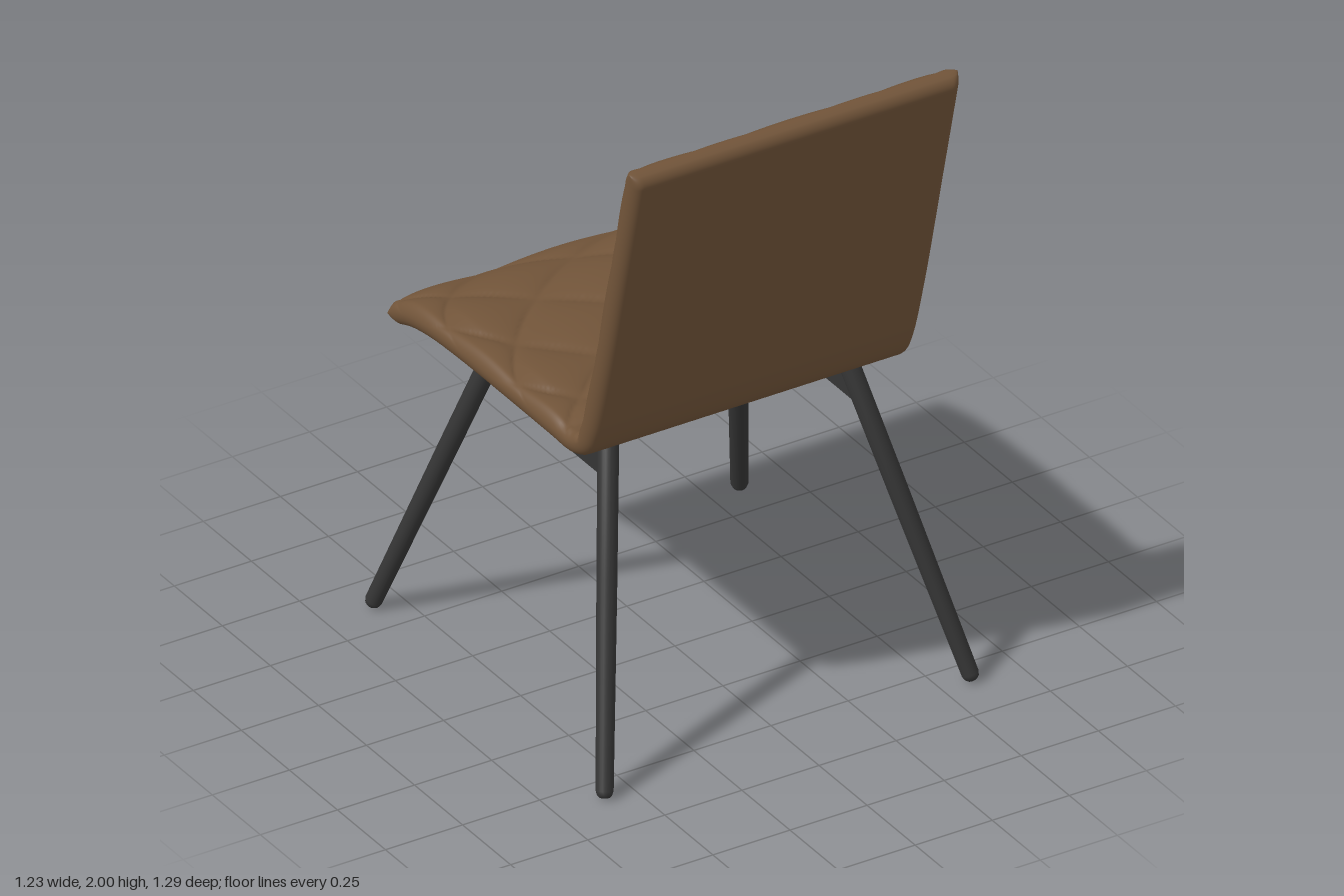
import * as THREE from 'three';
import { mergeVertices } from 'three/addons/utils/BufferGeometryUtils.js';

const HALF_WIDTH = 0.532;

// Side profile of the shell (z, y), from the front lip to the top of the back
const profile = new THREE.CatmullRomCurve3([
  [-0.643, 0.912], [-0.55, 0.945], [-0.45, 0.963], [-0.3, 0.972], [0, 0.974], [0.2, 0.973],
  [0.29, 0.973], [0.345, 0.997], [0.375, 1.05], [0.435, 1.25], [0.528, 1.63], [0.617, 1.998],
].map(([z, y]) => new THREE.Vector3(0, y, z)), false, 'centripetal');
profile.arcLengthDivisions = 600;

// Diamond padding that tightens towards the borders; angles run from -PI/2 to PI/2
function puff(angleX, angleS) {
  const p = angleX / 0.43, q = angleS / (Math.PI / 8);
  const a = Math.sin(Math.PI * (p + q) / 2), b = Math.sin(Math.PI * (p - q) / 2);
  return Math.sqrt(Math.abs(a * b));
}

// Quarter-round edge
function rounded(d, r) {
  const k = 1 - Math.min(Math.max(d, 0) / r, 1);
  return Math.sqrt(Math.max(0, 1 - k * k));
}

// One grid per side: padded sitting side and plain outer side, meeting at the rim
function shellGeometry() {
  const nx = 100, ns = 260, length = profile.getLength();
  const seatEnd = 0.945, backStart = 1.03;
  const positions = [], indices = [];
  for (const side of [1, -1]) {
    const base = positions.length / 3;
    for (let j = 0; j <= ns; j++) {
      const t = j / ns;
      const u = THREE.MathUtils.clamp(t - 0.6 * Math.sin(2 * Math.PI * t) / (2 * Math.PI), 0, 1);
      const s = u * length;
      const point = profile.getPointAt(u), tangent = profile.getTangentAt(u);
      // Panel: seat, backrest, or the plain band between
      const inSeat = s < seatEnd, inBack = s > backStart;
      const from = inSeat ? 0 : backStart, to = inSeat ? seatEnd : length;
      const f = THREE.MathUtils.clamp(2 * (s - from) / (to - from) - 1, -1, 1);
      const panelEdge = Math.min(s - from, to - s);
      for (let i = 0; i <= nx; i++) {
        const angleX = (i / nx - 0.5) * Math.PI;
        const x = HALF_WIDTH * Math.sin(angleX);
        const dx = HALF_WIDTH - Math.abs(x), ds = Math.min(s, length - s);
        let h = 0.037;
        if (side > 0) {
          h = 0.03;
          if (inSeat || inBack) {
            const fade = Math.min(1, 0.3 + Math.min(dx, panelEdge) / 0.12) * Math.min(1, panelEdge / 0.015);
            h += 0.021 * puff(angleX, Math.asin(f)) * fade;
          }
          h -= 0.014 * Math.exp(-(((s - 1.005) / 0.012) ** 2)); // seam in the bend
        }
        h *= side * rounded(dx, 0.03) * rounded(ds, 0.036);
        positions.push(x, point.y + tangent.z * h, point.z - tangent.y * h);
      }
    }
    for (let j = 0; j < ns; j++) {
      for (let i = 0; i < nx; i++) {
        const a = base + j * (nx + 1) + i, b = a + 1, c = a + nx + 1, d = c + 1;
        if (side > 0) indices.push(a, c, b, b, c, d);
        else indices.push(a, b, c, b, d, c);
      }
    }
  }
  const geometry = new THREE.BufferGeometry();
  geometry.setAttribute('position', new THREE.Float32BufferAttribute(positions, 3));
  geometry.setIndex(indices);
  const merged = mergeVertices(geometry, 1e-5);
  merged.computeVertexNormals();
  return merged;
}

// Round leg with a softly rounded foot
function makeLeg(foot, top, material) {
  const axis = top.clone().sub(foot), len = axis.length();
  const outline = [[0, 0], [0.014, 0.002], [0.021, 0.009], [0.025, 0.022], [0.029, len * 0.6], [0.03, len], [0, len]]
    .map(([r, y]) => new THREE.Vector2(r, y));
  const leg = new THREE.Mesh(new THREE.LatheGeometry(outline, 24), material);
  leg.position.copy(foot);
  leg.quaternion.setFromUnitVectors(new THREE.Vector3(0, 1, 0), axis.normalize());
  return leg;
}

export function createModel() {
  const leather = new THREE.MeshStandardMaterial({ color: 0x715439 });
  leather.name = 'brownLeather';
  const metal = new THREE.MeshStandardMaterial({ color: 0x353535 });
  metal.name = 'darkMetal';

  const chair = new THREE.Group();
  chair.name = 'chair';

  const shell = new THREE.Mesh(shellGeometry(), leather);
  shell.name = 'quiltedShell';
  chair.add(shell);

  // Side rail plate, slanted at both ends to follow the legs (z, y)
  const railShape = new THREE.Shape([
    [-0.33, 0.825], [0.305, 0.825], [0.27, 0.945], [-0.29, 0.945],
  ].map(([z, y]) => new THREE.Vector2(-z, y)));

  for (const side of [1, -1]) {
    const label = side > 0 ? 'left' : 'right';
    for (const [name, footZ, topZ] of [['BackLeg', 0.592, 0.272], ['FrontLeg', -0.622, -0.296]]) {
      const leg = makeLeg(new THREE.Vector3(side * 0.597, 0.004, footZ),
        new THREE.Vector3(side * 0.385, 0.95, topZ), metal);
      leg.name = label + name;
      chair.add(leg);
    }
    const rail = new THREE.Mesh(new THREE.ExtrudeGeometry(railShape, { depth: 0.03, bevelEnabled: false }), metal);
    rail.name = label + 'Rail';
    rail.rotation.y = Math.PI / 2;
    rail.position.x = side * 0.4 - 0.015;
    chair.add(rail);
  }
  return chair;
}
